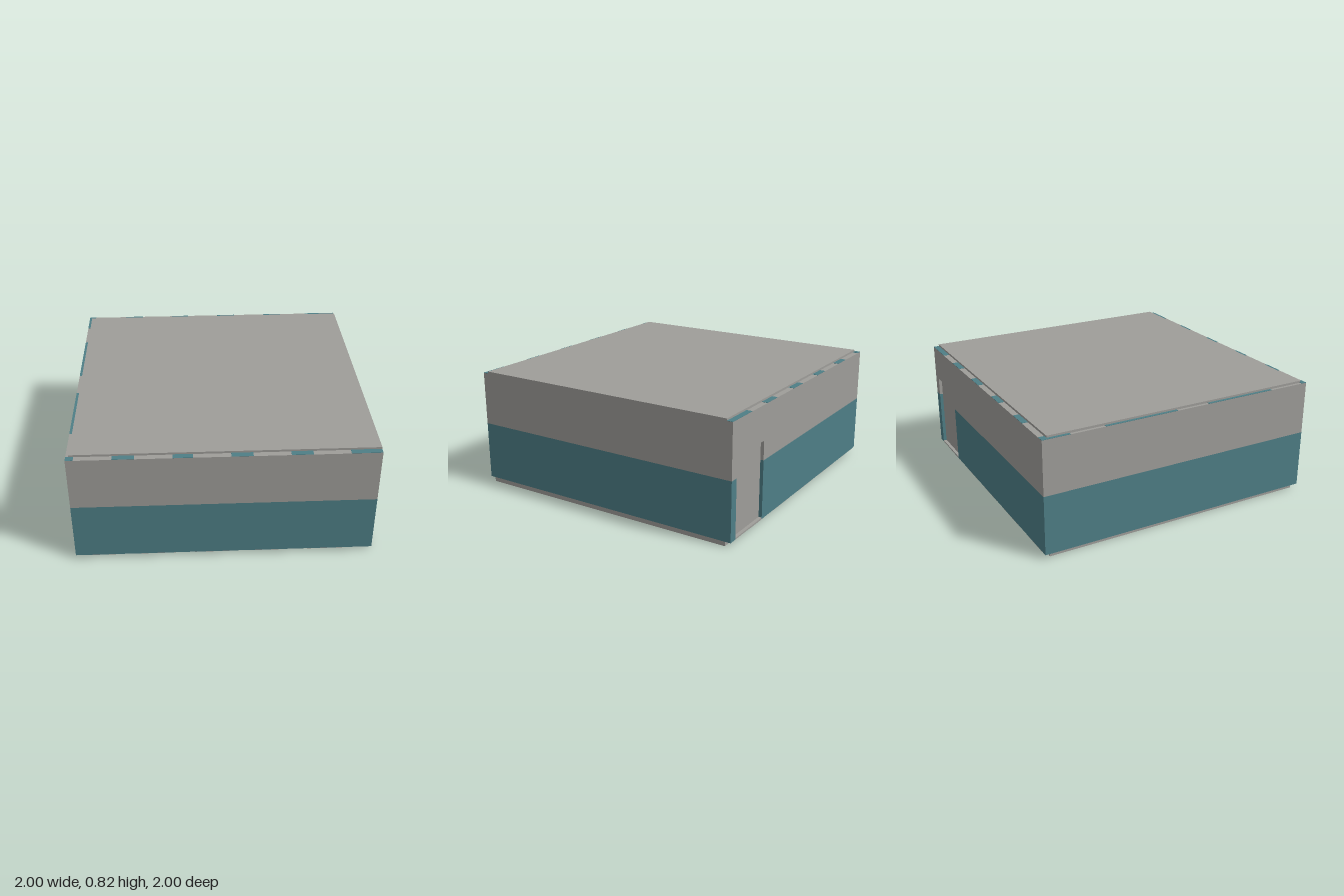
import * as THREE from 'three';

const grey = new THREE.MeshStandardMaterial({ color: 0x9e9d99 });
grey.name = 'concrete grey';
const teal = new THREE.MeshStandardMaterial({ color: 0x4e7e86 });
teal.name = 'wall teal';

// Box from its minimum and maximum corners
function box(parent, name, material, [x0, y0, z0], [x1, y1, z1]) {
  const mesh = new THREE.Mesh(new THREE.BoxGeometry(x1 - x0, y1 - y0, z1 - z0), material);
  mesh.position.set((x0 + x1) / 2, (y0 + y1) / 2, (z0 + z1) / 2);
  mesh.name = name;
  parent.add(mesh);
}

export function createModel() {
  const model = new THREE.Group();
  model.name = 'building';
  const base = 0.03, band = 0.437, top = 0.81, inner = 0.96;

  // Piece of wall, teal below the band line and grey above it
  function wall(name, x0, x1, z0, z1, y0 = base) {
    if (y0 < band) box(model, name + 'Lower', teal, [x0, y0, z0], [x1, band, z1]);
    box(model, name + 'Upper', grey, [x0, Math.max(y0, band), z0], [x1, top, z1]);
  }

  // Floor and roof slabs
  box(model, 'floorSlab', grey, [-0.98, 0, -inner], [1, base, inner]);
  box(model, 'roofSlab', grey, [-0.98, top, -inner], [1, 0.825, inner]);

  // Outer walls; the back wall leaves a doorway
  const doorL = 0.94, doorR = 0.59, doorTop = 0.57, sill = 0.04;
  wall('frontWall', -1, 1, inner, 1);
  wall('sideWallRight', -1, -inner, -inner, inner);
  wall('sideWallLeft', inner, 1, -inner, inner);
  wall('backWall', -1, doorR, -1, -inner);
  wall('backWallEnd', doorL, 1, -1, -inner);
  wall('doorLintel', doorR, doorL, -1, -inner, doorTop);

  // Recessed door on a low sill
  box(model, 'doorSill', grey, [doorR, base, -1], [doorL, sill, -inner]);
  box(model, 'door', grey, [doorR, sill, -0.977], [doorL, doorTop, -inner]);

  // Teal dashes on the wall tops, grey gaps between them on the undersides
  function dashes(name, spans, plate) {
    spans.forEach(([a, b], i) => {
      plate(name + 'TopDash', teal, a, b, top, top + 0.002);
      if (i + 1 < spans.length) plate(name + 'BottomDash', grey, b, spans[i + 1][0], base - 0.002, base);
    });
  }
  const middle = [[-1, -0.95], [-0.71, -0.57], [-0.33, -0.2], [0.04, 0.18], [0.42, 0.56]];
  dashes('frontWall', [...middle, [0.8, 1]], (n, m, a, b, y0, y1) =>
    box(model, n, m, [a, y0, inner], [b, y1, 1]));
  dashes('backWall', [...middle, [0.76, 1]], (n, m, a, b, y0, y1) =>
    box(model, n, m, [a, y0, -1], [b, y1, -inner]));
  dashes('sideWallRight', [[-inner, -0.81], [-0.57, -0.05], [0.19, 0.7]], (n, m, a, b, y0, y1) =>
    box(model, n, m, [-1, y0, a], [-0.98, y1, b]));

  return model;
}
